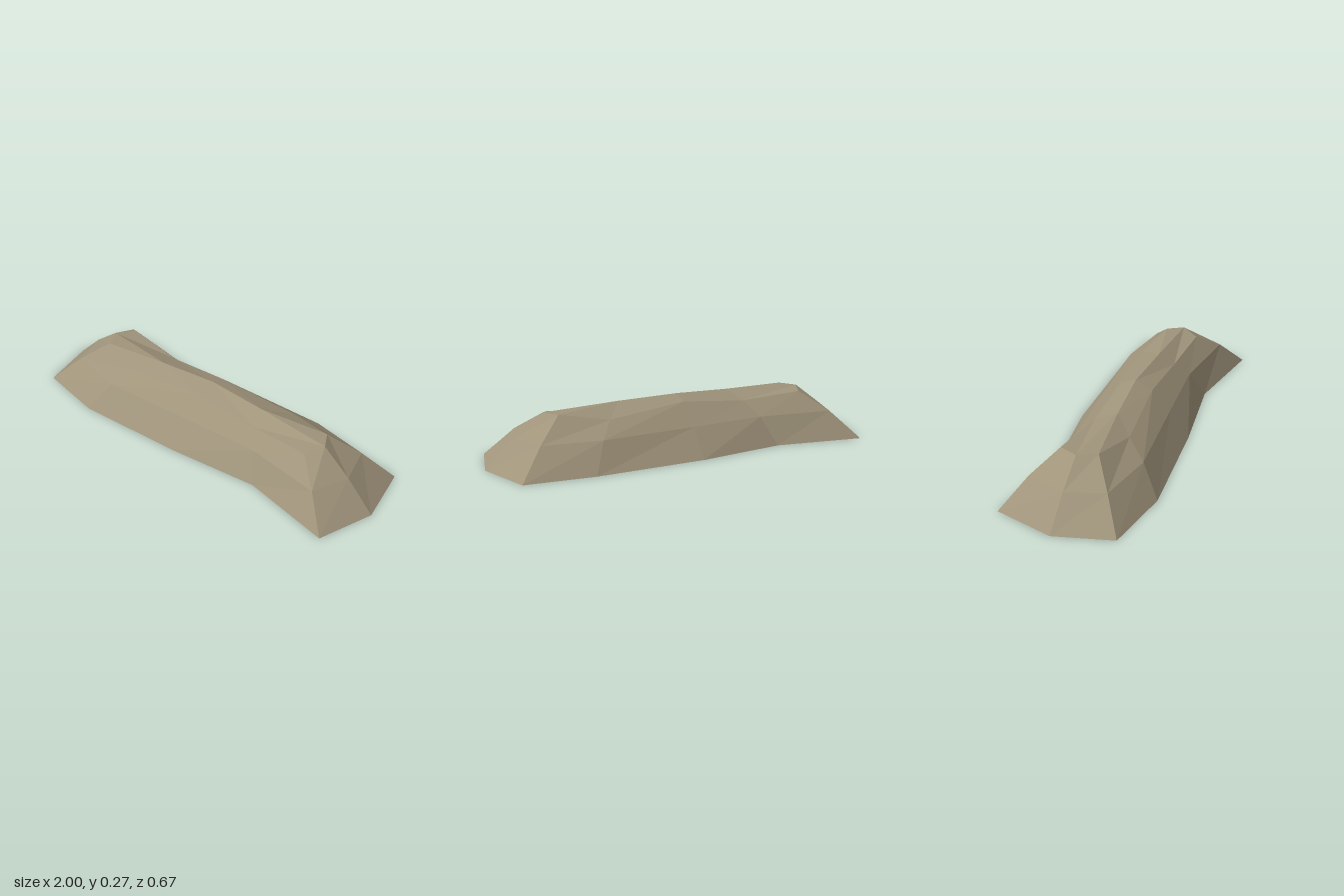
import * as THREE from 'three';

export function createModel() {
  const stone = new THREE.MeshStandardMaterial({ color: 0xa0947b });
  stone.name = 'stone';
  stone.flatShading = true;
  stone.side = THREE.DoubleSide; // open underneath

  // Ground outline [x, z], from the -x end round the back to +x and along the front
  const base = [
    [-1, -0.01], [-0.92, -0.31], [-0.46, -0.24], [0, -0.31], [0.57, -0.335], [0.92, -0.31],
    [1, -0.01], [0.92, 0.275], [0.46, 0.205], [0, 0.275], [-0.57, 0.33], [-0.92, 0.275],
  ].map(([x, z]) => [x, 0, z]);

  // Upper shoulder [x, y, z], same order
  const top = [
    [-0.71, 0.248, -0.01], [-0.66, 0.238, -0.11], [-0.34, 0.215, -0.085], [0, 0.245, -0.09],
    [0.42, 0.21, -0.145], [0.66, 0.248, -0.09], [0.71, 0.248, -0.01], [0.66, 0.23, 0.08],
    [0.34, 0.212, 0.07], [0, 0.235, 0.08], [-0.42, 0.21, 0.13], [-0.66, 0.247, 0.08],
  ];

  // Bulging waist halfway between the two
  const waist = base.map((b, i) => [(b[0] + top[i][0]) / 2, 0.14, (b[2] + top[i][2]) / 2]);

  // Crest points
  const crest = [[-0.31, 0.258, 0.025], [0, 0.272, -0.01], [0.32, 0.265, -0.01]];

  const n = base.length;
  const index = [];
  // Sloping sides
  for (let ring = 0; ring < 2; ring++) {
    for (let i = 0; i < n; i++) {
      const a = ring * n + i, b = ring * n + (i + 1) % n;
      index.push(b, a, a + n, b, a + n, b + n);
    }
  }
  // Cap: 0-11 are shoulder points, L, C and R the crest
  const L = 12, C = 13, R = 14;
  const cap = [
    [0, 1, 2], [0, 2, L], [L, 2, C], [C, 2, 3], [C, 3, R], [3, 4, R], [4, 5, R], [5, 6, R],
    [6, 7, 8], [6, 8, R], [R, 8, C], [C, 8, 9], [C, 9, L], [9, 10, L], [10, 11, L], [11, 0, L],
  ];
  for (const [a, b, c] of cap) index.push(2 * n + c, 2 * n + b, 2 * n + a);

  const indexed = new THREE.BufferGeometry();
  indexed.setAttribute('position',
    new THREE.Float32BufferAttribute([...base, ...waist, ...top, ...crest].flat(), 3));
  indexed.setIndex(index);
  const geometry = indexed.toNonIndexed();
  geometry.computeVertexNormals();

  const rock = new THREE.Mesh(geometry, stone);
  rock.name = 'rockRidge';
  const group = new THREE.Group();
  group.name = 'rock';
  group.add(rock);
  return group;
}
